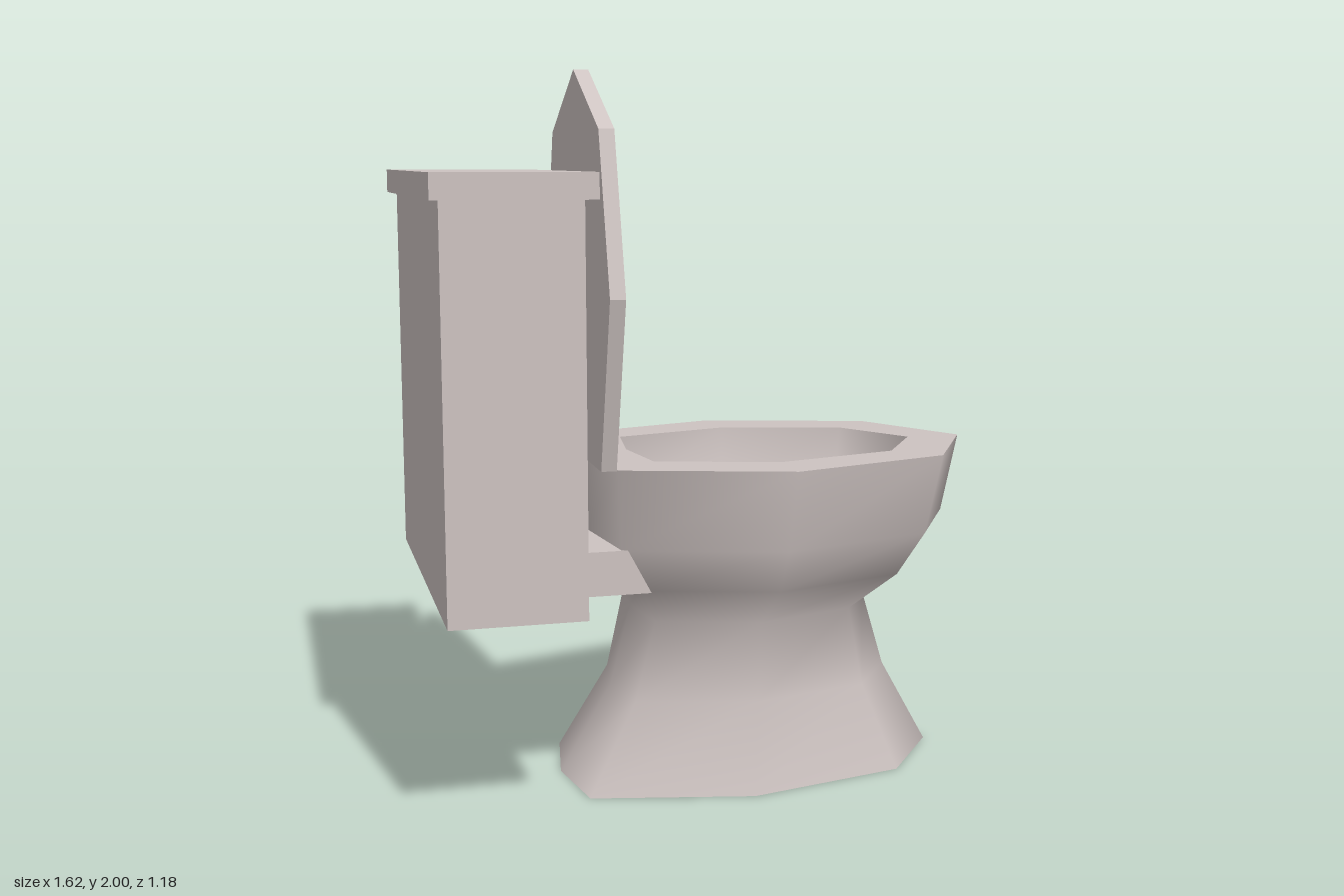
import * as THREE from 'three';

const CZ = 0.017; // centre line of the bowl and tank

// Eight-sided egg outline: [fraction from back to tip, fraction of half width]
const EGG = [[1, 0], [0.84, 0.7], [0.433, 1], [0.035, 0.7], [0, 0], [0.035, -0.7], [0.433, -1], [0.84, -0.7]];
const egg = (back, front, half) => EGG.map(([t, w]) => [back + t * (front - back), CZ + w * half]);

// Smooth skin through rings given as [y, back x, front x, half width]
function loft(rings) {
  const pos = [], index = [], n = EGG.length;
  for (const [y, back, front, half] of rings) {
    for (const [x, z] of egg(back, front, half)) pos.push(x, y, z);
  }
  for (let i = 0; i < rings.length - 1; i++) {
    for (let j = 0; j < n; j++) {
      const a = i * n + j, b = i * n + (j + 1) % n;
      index.push(a, a + n, b, b, a + n, b + n);
    }
  }
  const geo = new THREE.BufferGeometry();
  geo.setAttribute('position', new THREE.Float32BufferAttribute(pos, 3));
  geo.setIndex(index);
  geo.computeVertexNormals();
  return geo;
}

const toVectors = (points) => points.map(([x, y]) => new THREE.Vector2(x, y));

export function createModel() {
  const group = new THREE.Group();
  const porcelain = new THREE.MeshStandardMaterial({ color: 0xcdc3c1, side: THREE.DoubleSide });
  porcelain.name = 'porcelain';

  const add = (name, geo) => {
    const mesh = new THREE.Mesh(geo, porcelain);
    mesh.name = name;
    group.add(mesh);
    return mesh;
  };
  const box = (name, x0, x1, y0, y1, z0, z1) => {
    const mesh = add(name, new THREE.BoxGeometry(x1 - x0, y1 - y0, z1 - z0));
    mesh.position.set((x0 + x1) / 2, (y0 + y1) / 2, (z0 + z1) / 2);
  };

  // Pedestal and outer bowl, open underneath
  add('pedestalBowl', loft([
    [0, -0.41, 0.72, 0.337],
    [0.25, -0.26, 0.58, 0.27],
    [0.485, -0.2, 0.51, 0.29],
    [0.59, -0.27, 0.67, 0.37],
    [0.715, -0.33, 0.76, 0.43],
    [0.94, -0.345, 0.81, 0.465],
  ]));

  // Flat rim with the bowl opening
  const rim = new THREE.Shape(toVectors(egg(-0.345, 0.81, 0.465)));
  rim.holes.push(new THREE.Path(toVectors(egg(-0.21, 0.65, 0.312))));
  const rimGeo = new THREE.ShapeGeometry(rim);
  rimGeo.rotateX(-Math.PI / 2); // symmetric about CZ, so shift back after the flip
  rimGeo.translate(0, 0.94, 2 * CZ);
  add('rim', rimGeo);

  // Inner bowl down to the drain
  add('innerBowl', loft([
    [0.94, -0.21, 0.65, 0.312],
    [0.76, -0.2, 0.63, 0.3],
    [0.62, -0.12, 0.4, 0.19],
    [0.54, -0.03, 0.12, 0.06],
    [0.53, 0.03, 0.031, 0.001],
  ]));

  // Raised seat lid
  const lid = new THREE.Shape(toVectors([
    [-0.33, 0.94], [0.33, 0.94], [0.457, 1.405], [0.33, 1.835], [0, 2], [-0.33, 1.835], [-0.457, 1.405],
  ]));
  const lidGeo = new THREE.ExtrudeGeometry(lid, { depth: 0.042, bevelEnabled: false });
  lidGeo.rotateY(Math.PI / 2);
  lidGeo.translate(-0.352, 0, CZ + 0.003);
  add('seatLid', lidGeo);

  // Shelf joining bowl and tank, with a sloped front end
  const shelf = new THREE.Shape(toVectors([[-0.43, 0.595], [-0.21, 0.595], [-0.275, 0.717], [-0.43, 0.717]]));
  const shelfGeo = new THREE.ExtrudeGeometry(shelf, { depth: 0.615, bevelEnabled: false });
  shelfGeo.translate(0, 0, CZ - 0.3075);
  add('tankShelf', shelfGeo);

  // Tank and its cover
  box('tank', -0.79, -0.43, 0.595, 1.66, -0.52, 0.56);
  box('tankCover', -0.815, -0.4, 1.66, 1.727, -0.553, 0.592);

  // Flush handle: knob on the tank side and a tapered lever
  const knob = add('flushKnob', new THREE.CylinderGeometry(0.036, 0.036, 0.075, 8));
  knob.rotation.x = Math.PI / 2;
  knob.position.set(-0.61, 1.495, -0.5555);
  const lever = add('flushLever', new THREE.CylinderGeometry(0.027, 0.02, 0.14, 8));
  lever.rotation.z = Math.PI / 2;
  lever.position.set(-0.525, 1.495, -0.55);

  return group;
}
